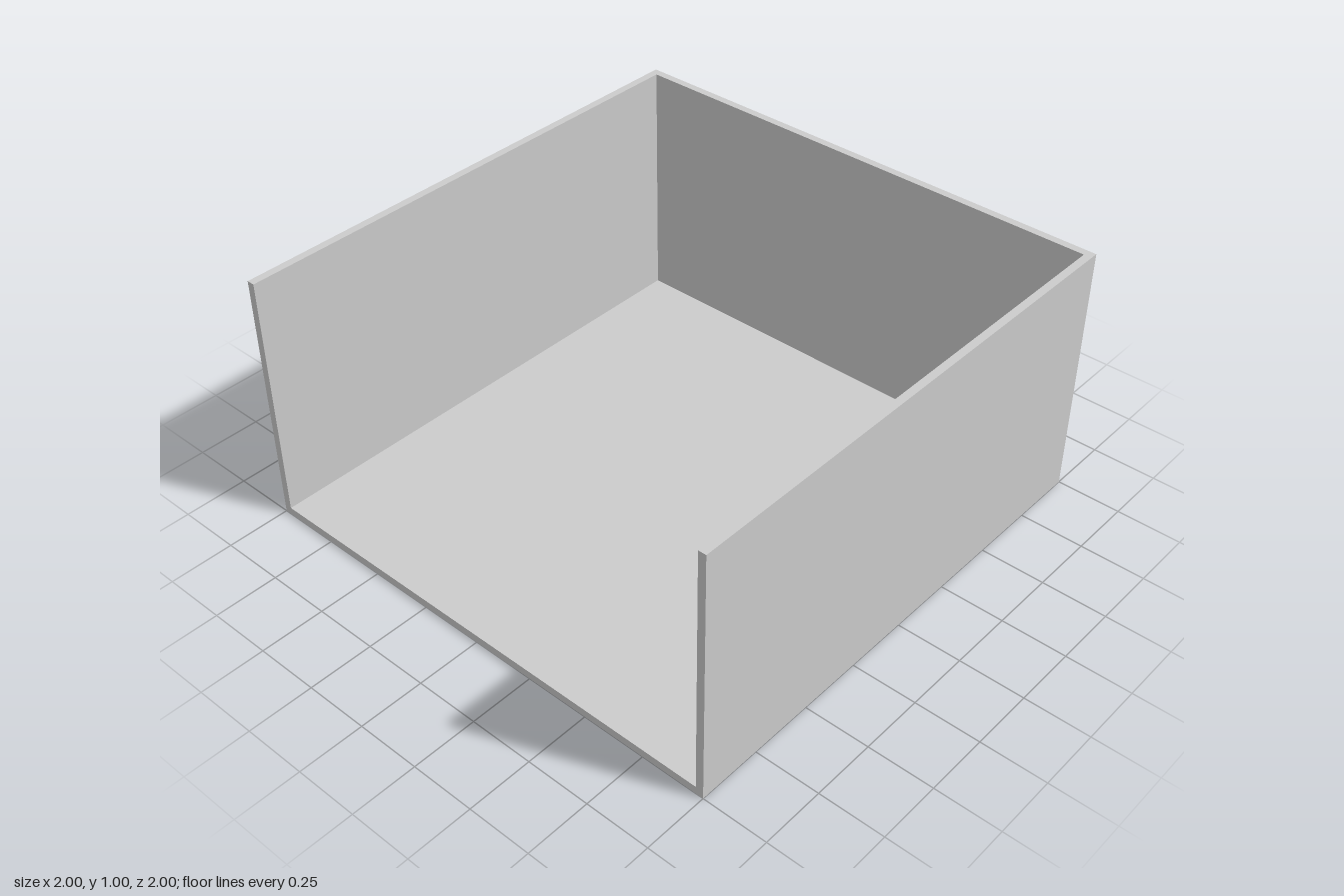
import * as THREE from 'three';

const SIZE = 2;      // width and depth
const HEIGHT = 1;
const WALL = 0.03;   // thickness of every panel

export function createModel() {
  const group = new THREE.Group();
  group.name = 'openFrontTray';
  const material = new THREE.MeshStandardMaterial({ color: 0xcccccc });

  const panel = (name, width, height, depth, x, y, z) => {
    const mesh = new THREE.Mesh(new THREE.BoxGeometry(width, height, depth), material);
    mesh.name = name;
    mesh.position.set(x, y, z);
    group.add(mesh);
  };

  // Floor fills the space between the walls, up to the open front edge
  const half = SIZE / 2;
  panel('floor', SIZE - 2 * WALL, WALL, SIZE - WALL, 0, WALL / 2, WALL / 2);

  // Back wall between the side walls
  panel('backWall', SIZE - 2 * WALL, HEIGHT, WALL, 0, HEIGHT / 2, -half + WALL / 2);

  // Mirrored side walls over the full depth
  for (const [name, side] of [['leftWall', 1], ['rightWall', -1]]) {
    panel(name, WALL, HEIGHT, SIZE, side * (half - WALL / 2), HEIGHT / 2, 0);
  }

  return group;
}
